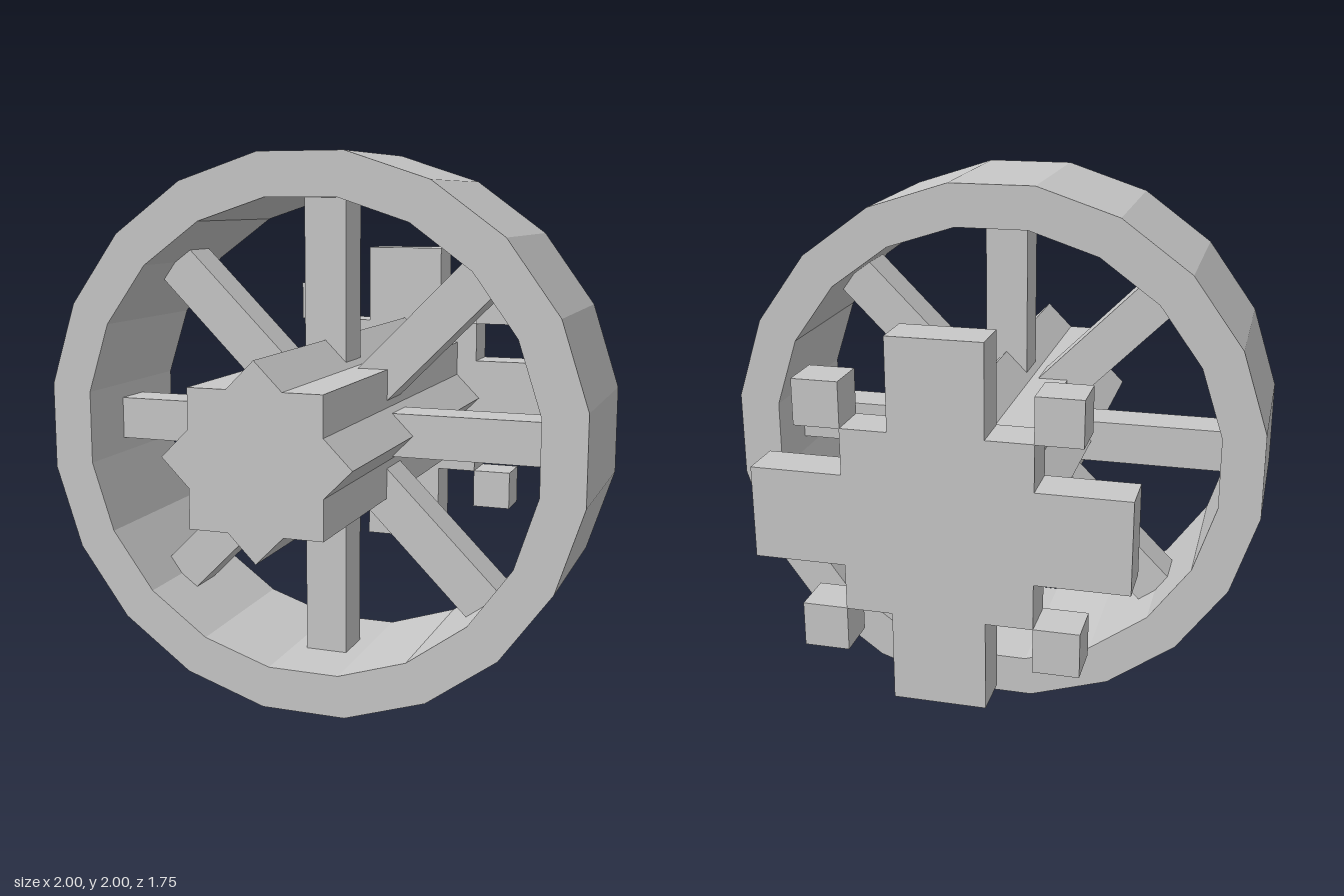
import * as THREE from 'three';

const TAU = Math.PI * 2;

// Closed ring of points; radii alternate through the given list
function ringPoints(count, radii, offset = 0) {
  return Array.from({ length: count }, (_, i) => {
    const a = offset + (i / count) * TAU;
    const r = radii[i % radii.length];
    return new THREE.Vector2(Math.cos(a) * r, Math.sin(a) * r);
  });
}

export function createModel() {
  const model = new THREE.Group();
  model.name = 'spokedWheel';
  const grey = new THREE.MeshStandardMaterial({ color: 0xc8c8c8 });
  grey.name = 'plain grey';

  // All parts sit around an axle along z
  const wheel = new THREE.Group();
  wheel.name = 'wheelAssembly';
  wheel.position.y = 1;
  model.add(wheel);

  function add(name, geometry, x = 0, y = 0, z = 0) {
    const mesh = new THREE.Mesh(geometry, grey);
    mesh.name = name;
    mesh.position.set(x, y, z);
    wheel.add(mesh);
    return mesh;
  }

  function extrude(name, shape, z0, z1) {
    const geometry = new THREE.ExtrudeGeometry(shape, { depth: z1 - z0, bevelEnabled: false });
    return add(name, geometry, 0, 0, z0);
  }

  // Twenty-sided rim with flats at top, bottom and sides
  const half = TAU / 40;
  const rim = new THREE.Shape(ringPoints(20, [1 / Math.cos(half)], half));
  rim.holes.push(new THREE.Path(ringPoints(20, [0.845 / Math.cos(half)], half)));
  extrude('rim', rim, -0.158, 0.475);

  // Eight-pointed star axle
  extrude('axle', new THREE.Shape(ringPoints(16, [0.335, 0.2565])), -0.72, 0.875);

  // Eight square spokes
  for (let i = 0; i < 8; i++) {
    const a = (i / 8) * TAU;
    const r = 0.525;
    const spoke = add('spoke', new THREE.BoxGeometry(0.66, 0.158, 0.158),
      Math.cos(a) * r, Math.sin(a) * r, 0.158);
    spoke.rotation.z = a;
  }

  // Stepped cross on the back end of the axle
  const quarter = [[0.635, -0.16], [0.635, 0.16], [0.32, 0.16], [0.32, 0.32], [0.16, 0.32]];
  const cross = [];
  for (let i = 0; i < 4; i++) {
    for (const [x, y] of quarter) {
      cross.push(new THREE.Vector2(x, y).rotateAround(new THREE.Vector2(), i * TAU / 4));
    }
  }
  extrude('backCross', new THREE.Shape(cross), -0.875, -0.717);

  // Small cubes at the corners of the cross
  for (const sx of [-1, 1]) {
    for (const sy of [-1, 1]) {
      add('cornerCube', new THREE.BoxGeometry(0.157, 0.157, 0.158), sx * 0.397, sy * 0.397, -0.796);
    }
  }

  return model;
}
